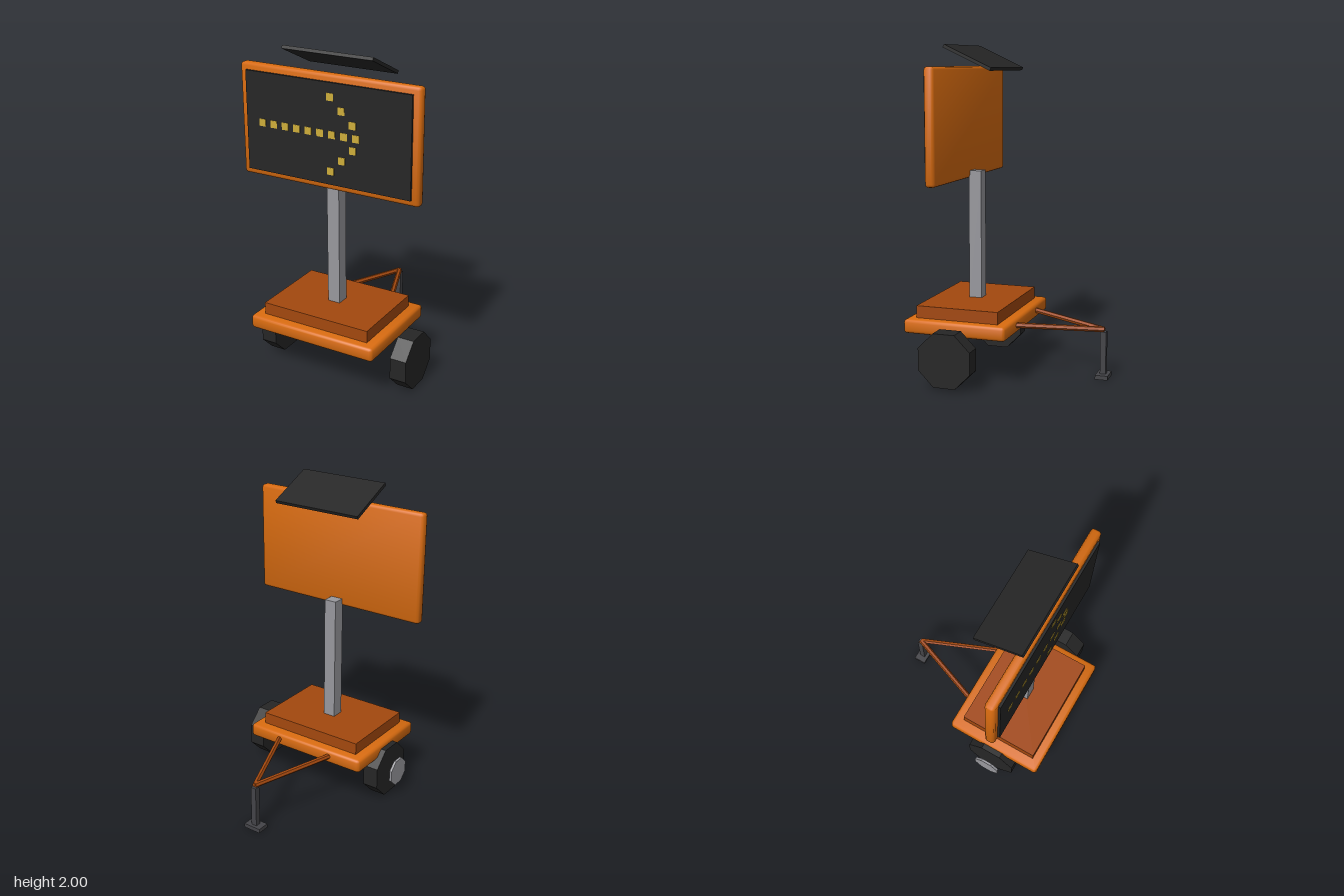
import * as THREE from 'three';
import { RoundedBoxGeometry } from 'three/addons/geometries/RoundedBoxGeometry.js';

const paint = (name, color, flatShading = false) =>
  Object.assign(new THREE.MeshStandardMaterial({ color, flatShading }), { name });

export function createModel() {
  const orange = paint('orange paint', 0xd86b0f);
  const rust = paint('dark orange paint', 0xa3480e);
  const black = paint('black', 0x262626);
  const steel = paint('light steel', 0x98989d);
  const iron = paint('dark iron', 0x444448);
  const amber = paint('amber lamp', 0xcfae3a);

  const model = new THREE.Group();
  model.name = 'arrowBoardTrailer';

  const add = (name, geometry, material, x, y, z, parent = model) => {
    const mesh = new THREE.Mesh(geometry, material);
    mesh.name = name;
    mesh.position.set(x, y, z);
    parent.add(mesh);
    return mesh;
  };
  const box = (name, material, [w, h, d], [x, y, z], parent) =>
    add(name, new THREE.BoxGeometry(w, h, d), material, x, y, z, parent);

  // Bevelled box whose normals lean toward the corners for soft shading
  const softBox = (name, material, [w, h, d], [x, y, z]) => {
    const g = new RoundedBoxGeometry(w, h, d, 1, 0.018);
    const p = g.attributes.position, n = g.attributes.normal;
    const v = new THREE.Vector3();
    for (let i = 0; i < p.count; i++) {
      v.set(Math.sign(p.getX(i)), Math.sign(p.getY(i)), Math.sign(p.getZ(i))).multiplyScalar(0.25);
      v.x += n.getX(i); v.y += n.getY(i); v.z += n.getZ(i);
      v.normalize();
      n.setXYZ(i, v.x, v.y, v.z);
    }
    return add(name, g, material, x, y, z);
  };

  // Octagonal disc with its axle along x and a flat side down
  const disc = (name, material, apothem, width, x) => {
    const g = new THREE.CylinderGeometry(apothem / Math.cos(Math.PI / 8), apothem / Math.cos(Math.PI / 8), width, 8)
      .rotateY(Math.PI / 8).rotateZ(Math.PI / 2).toNonIndexed();
    g.computeVertexNormals();
    return add(name, g, material, x, 0.18, 0.265);
  };

  // Straight bar between two points
  const bar = (name, material, radius, a, b) => {
    const dir = b.clone().sub(a);
    const g = new THREE.CylinderGeometry(radius, radius, dir.length(), 6).toNonIndexed();
    g.computeVertexNormals();
    const mid = a.clone().add(b).multiplyScalar(0.5);
    const mesh = add(name, g, material, mid.x, mid.y, mid.z);
    mesh.quaternion.setFromUnitVectors(new THREE.Vector3(0, 1, 0), dir.normalize());
  };

  // Trailer bed, battery box and mast
  softBox('deck', orange, [0.84, 0.085, 0.645], [0, 0.328, 0.2625]);
  box('batteryBox', rust, [0.71, 0.08, 0.52], [0, 0.405, 0.265]);
  box('mast', steel, [0.08, 0.8, 0.08], [0, 0.84, 0.265]);

  // Wheels and hub
  disc('rightTyre', black, 0.162, 0.1, -0.405);
  disc('leftTyre', black, 0.162, 0.104, 0.507);
  disc('hub', steel, 0.084, 0.016, -0.506);

  // Towing frame and jack stand
  for (const s of [-1, 1]) {
    bar(s > 0 ? 'leftDrawbar' : 'rightDrawbar', rust, 0.017,
      new THREE.Vector3(s * 0.195, 0.333, -0.05), new THREE.Vector3(0, 0.3, -0.55));
  }
  box('jackLeg', iron, [0.036, 0.265, 0.036], [0, 0.155, -0.55]);
  box('jackFoot', iron, [0.114, 0.026, 0.078], [0, 0.013, -0.55]);

  // Sign board with its screen
  softBox('signFrame', orange, [1.17, 0.68, 0.062], [0, 1.534, 0.329]);
  box('screen', black, [1.08, 0.6, 0.02], [0, 1.533, 0.364]);

  // Lamps forming an arrow
  const lamps = new THREE.Group();
  lamps.name = 'arrowLamps';
  model.add(lamps);
  const spots = [[0.03, 0.218], [0.102, 0.145], [0.174, 0.073]]
    .flatMap(([x, dy]) => [[x, dy], [x, -dy]]);
  for (let i = 0; i < 9; i++) spots.push([-0.43 + 0.0782 * i, 0]);
  for (const [x, dy] of spots) {
    box('lamp', amber, [0.044, 0.044, 0.006], [x, 1.533 + dy, 0.374], lamps);
  }

  // Tilted solar panel
  const solar = box('solarPanel', black, [0.585, 0.02, 0.32], [0, 1.925, 0.213]);
  solar.rotation.x = -0.436;

  return model;
}
